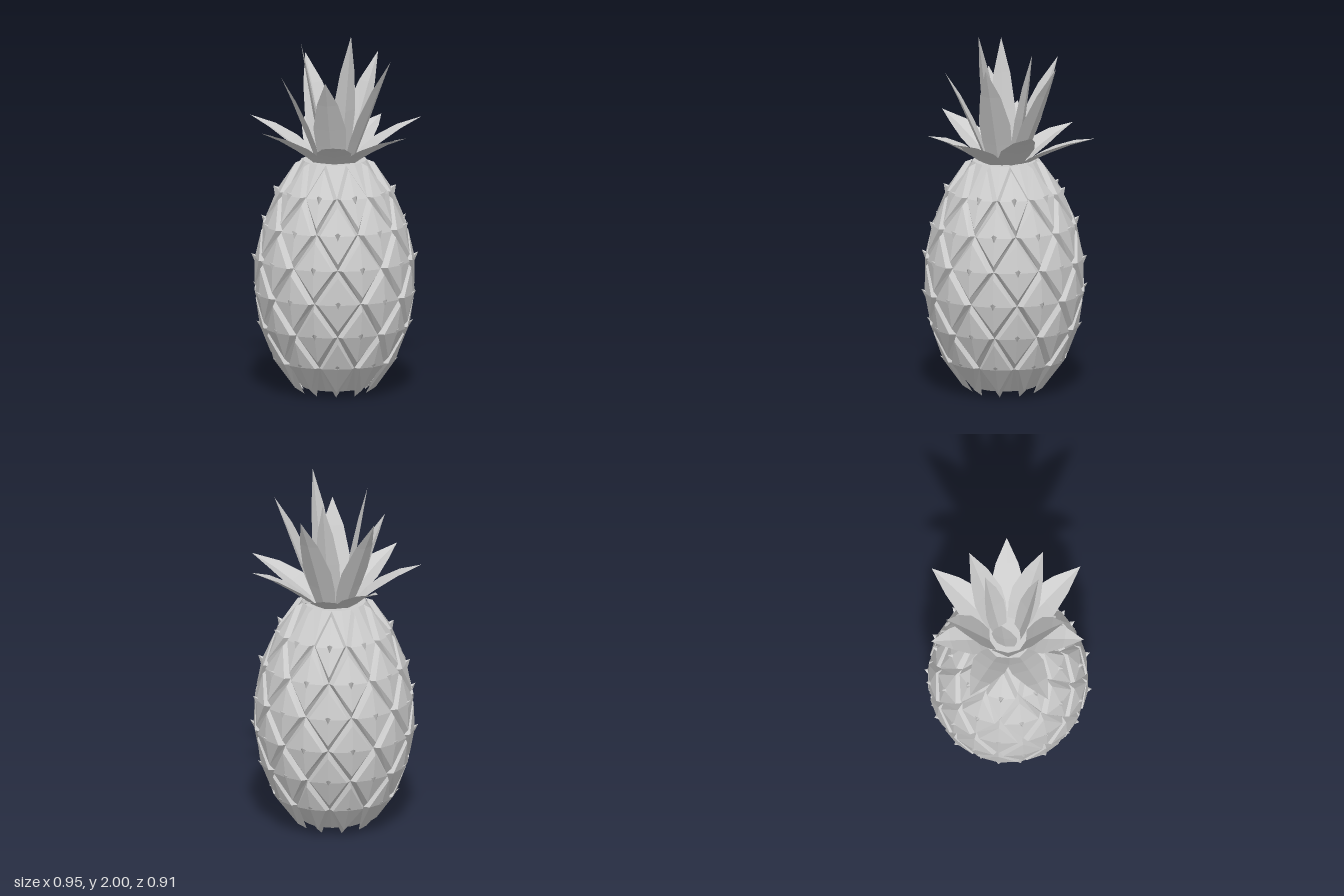
import * as THREE from 'three';

const STEP = 0.187, SIDES = 10, HALF = Math.PI / SIDES;
const BOTTOM = 0.035, TOP = 1.287, RECESS = 0.03;
// Outer radius at each row height
const RADII = [0.205, 0.335, 0.405, 0.437, 0.432, 0.392, 0.312, 0.19];

function radiusAt(y) {
  const f = THREE.MathUtils.clamp(y / STEP, 0, 6.999);
  const i = Math.floor(f);
  return THREE.MathUtils.lerp(RADII[i], RADII[i + 1], f - i);
}

// Point on the fruit at an angle and height, pushed out by "lift"
function onSkin(a, y, lift = 0) {
  const r = radiusAt(y) + lift;
  return new THREE.Vector3(Math.sin(a) * r, y, Math.cos(a) * r);
}

// Flat-shaded geometry from a list of corner points, three per triangle
function facets(points) {
  const g = new THREE.BufferGeometry().setFromPoints(points);
  g.computeVertexNormals();
  return g;
}

// Raised diamond scale with bevelled edges
function addScale(out, a, y) {
  const corner = ([da, dy], s, lift) =>
    onSkin(a + da * HALF * s, Math.min(y + dy * STEP * s, TOP), lift);
  const dirs = [[1, 0], [0, 1], [-1, 0], [0, -1]];
  const centre = onSkin(a, y, 0.003);
  dirs.forEach((d, i) => {
    const e = dirs[(i + 1) % 4];
    const a0 = corner(d, 0.8, 0), b0 = corner(e, 0.8, 0);
    const a1 = corner(d, 1, -RECESS), b1 = corner(e, 1, -RECESS);
    out.push(centre, a0, b0, a0, a1, b1, a0, b1, b0);
  });
}

// Small thorn with an upturned tip
function addThorn(out, a, y) {
  const r = radiusAt(y);
  const ring = [[0.017, 0.006], [0, 0.014], [-0.017, 0.006], [0, -0.034]]
    .map(([dx, dy]) => onSkin(a + dx / r, y + dy, -0.002));
  const tip = onSkin(a, y, 0.022);
  tip.y += 0.024;
  ring.forEach((p, i) => out.push(tip, p, ring[(i + 1) % 4]));
}

// Folded, pointed leaf that bends from the crown's base to its tip
function leafGeometry([x, y, z], baseRadius, width, bend) {
  const a = Math.atan2(x, z), reach = Math.hypot(x, z);
  const across = new THREE.Vector3(Math.cos(a), 0, -Math.sin(a));
  const at = (r, h) => new THREE.Vector3(Math.sin(a) * r, h, Math.cos(a) * r);
  const curve = new THREE.QuadraticBezierCurve3(
    at(baseRadius, TOP - 0.005),
    at((baseRadius + reach) / 2 - bend, (TOP + y) / 2 + bend),
    at(reach, y));
  const sections = [[0, 0.68], [0.2, 0.93], [0.4, 1], [0.7, 0.65], [1, 0]].map(([t, w]) => {
    const p = curve.getPoint(t), tan = curve.getTangent(t);
    const under = across.clone().cross(tan).normalize();
    if (under.dot(at(1, -1)) < 0) under.negate();
    const side = (s) => p.clone().addScaledVector(across, s * w * width / 2);
    return [side(-1), p.clone().addScaledVector(under, w * width * 0.12), side(1)];
  });
  const pts = [];
  for (let i = 0; i < sections.length - 1; i++) {
    const s = sections[i], n = sections[i + 1];
    for (let j = 0; j < 2; j++) {
      pts.push(s[j], s[j + 1], n[j + 1]);
      if (i < sections.length - 2 || j === 0) pts.push(s[j], n[j + 1], n[j]);
    }
  }
  return facets(pts);
}

export function createModel() {
  const model = new THREE.Group();
  model.name = 'pineapple';
  const grey = new THREE.MeshStandardMaterial({ color: 0xcccccc, side: THREE.DoubleSide });
  grey.name = 'light grey';
  const add = (parent, geometry, name) => {
    const mesh = new THREE.Mesh(geometry, grey);
    mesh.name = name;
    parent.add(mesh);
  };

  // Closed core, showing between the scales at the top and bottom
  const profile = [[0, BOTTOM], [0.18, BOTTOM]];
  for (let row = 1; row < 7; row++) profile.push([RADII[row] - RECESS - 0.004, row * STEP]);
  profile.push([0.172, TOP], [0, TOP]);
  const core = new THREE.LatheGeometry(profile.map((p) => new THREE.Vector2(...p)), 20).toNonIndexed();
  core.computeVertexNormals();
  add(model, core, 'core');

  // Staggered rows of scales, each with a thorn
  const scales = [], thorns = [];
  for (let row = 1; row < 7; row++) {
    for (let i = 0; i < SIDES; i++) {
      const a = (2 * i + (row % 2)) * HALF;
      addScale(scales, a, row * STEP);
      addThorn(thorns, a, row * STEP);
    }
  }
  add(model, facets(scales), 'scales');
  add(model, facets(thorns), 'thorns');

  // Crown: three rings of leaves, given by their tips
  const crown = new THREE.Group();
  crown.name = 'crown';
  model.add(crown);
  const rings = [
    { name: 'outerLeaf', base: 0.11, width: 0.19, bend: 0.04, tips: [
      [-0.48, 1.49, 0.13], [0.475, 1.51, 0.085], [0.25, 1.47, 0.45], [-0.155, 1.43, 0.39],
      [0.4, 1.45, -0.345], [-0.015, 1.45, -0.43], [-0.385, 1.51, -0.285]] },
    { name: 'middleLeaf', base: 0.085, width: 0.18, bend: 0.025, tips: [
      [-0.04, 1.82, -0.35], [0.31, 1.84, -0.155], [0.235, 1.855, 0.24],
      [-0.16, 1.77, 0.28], [-0.29, 1.75, -0.055]] },
    { name: 'innerLeaf', base: 0.055, width: 0.14, bend: 0.01, tips: [
      [-0.17, 1.93, -0.07], [0.03, 2, 0.175], [0.135, 1.89, -0.1]] },
  ];
  for (const { name, base, width, bend, tips } of rings) {
    tips.forEach((tip, i) => add(crown, leafGeometry(tip, base, width, bend), name + (i + 1)));
  }
  return model;
}
